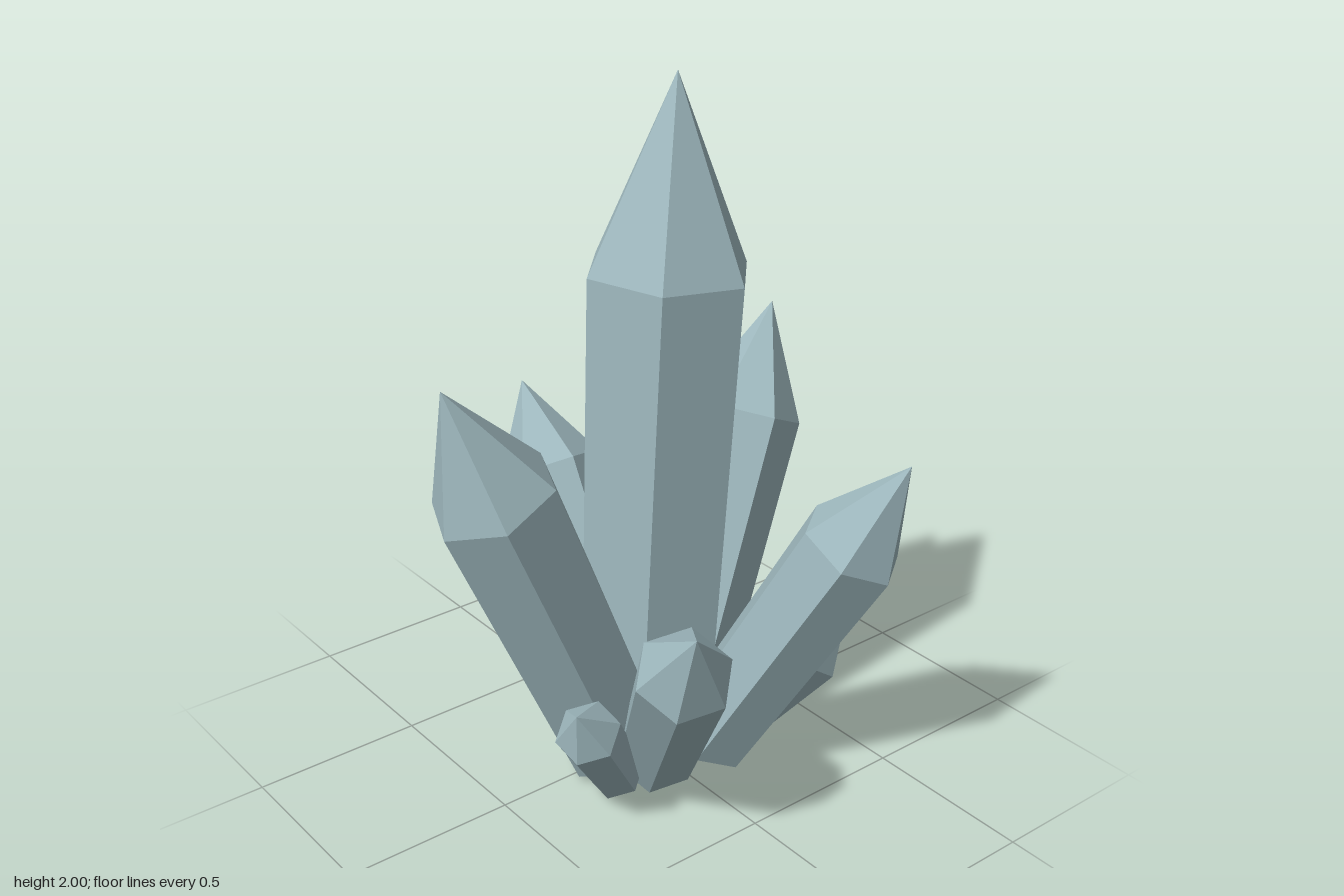
import * as THREE from 'three';

const UP = new THREE.Vector3(0, 1, 0);

// Six-sided shaft, widening slightly upward, with a pointed top.
// twist is the heading, in degrees from +x toward +z, of one shaft edge.
function makeCrystal(name, base, tip, radius, twist, material) {
  const start = new THREE.Vector3(...base);
  const axis = new THREE.Vector3(...tip).sub(start);
  const length = axis.length();
  const profile = [
    [0, 0],
    [radius * 0.88, 0],
    [radius, length * 0.73],
    [0, length],
  ].map(([x, y]) => new THREE.Vector2(x, y));
  const geometry = new THREE.LatheGeometry(profile, 6);
  geometry.rotateY(Math.PI / 6 - THREE.MathUtils.degToRad(twist));
  const mesh = new THREE.Mesh(geometry, material);
  mesh.name = name;
  mesh.position.copy(start);
  mesh.quaternion.setFromUnitVectors(UP, axis.normalize());
  return mesh;
}

export function createModel() {
  const group = new THREE.Group();
  group.name = 'crystalCluster';
  const crystal = new THREE.MeshStandardMaterial({ color: 0x9fb9bf, flatShading: true });
  crystal.name = 'paleBlueCrystal';

  // name, base centre, tip, shoulder radius, twist
  const crystals = [
    ['mainCrystal', [0, 0.03, 0.01], [0.11, 2, 0], 0.238, 12.5],
    // Large leaning crystals
    ['rightCrystal', [-0.12, 0.07, 0.02], [-0.63, 1.3, -0.02], 0.182, -6],
    ['leftCrystal', [0.14, 0.06, -0.04], [0.655, 1.18, -0.212], 0.168, -18],
    ['frontLeftCrystal', [0.11, 0.07, 0.165], [0.375, 1.045, 0.648], 0.15, 24],
    ['frontRightCrystal', [-0.075, 0.07, 0.15], [-0.325, 0.77, 0.622], 0.135, 15],
    ['backCrystal', [0.03, 0.08, -0.145], [0.045, 0.935, -0.655], 0.155, 32],
    // Small crystals around the foot
    ['smallFrontRightCrystal', [-0.21, 0.06, 0.14], [-0.46, 0.432, 0.298], 0.092, 30],
    ['smallFrontLeftCrystal', [0.235, 0.06, 0.15], [0.463, 0.375, 0.345], 0.085, 8],
    ['smallBackCrystal', [0.13, 0.07, -0.17], [0.32, 0.485, -0.47], 0.1, 36],
  ];
  for (const [name, base, tip, radius, twist] of crystals) {
    group.add(makeCrystal(name, base, tip, radius, twist, crystal));
  }
  return group;
}
